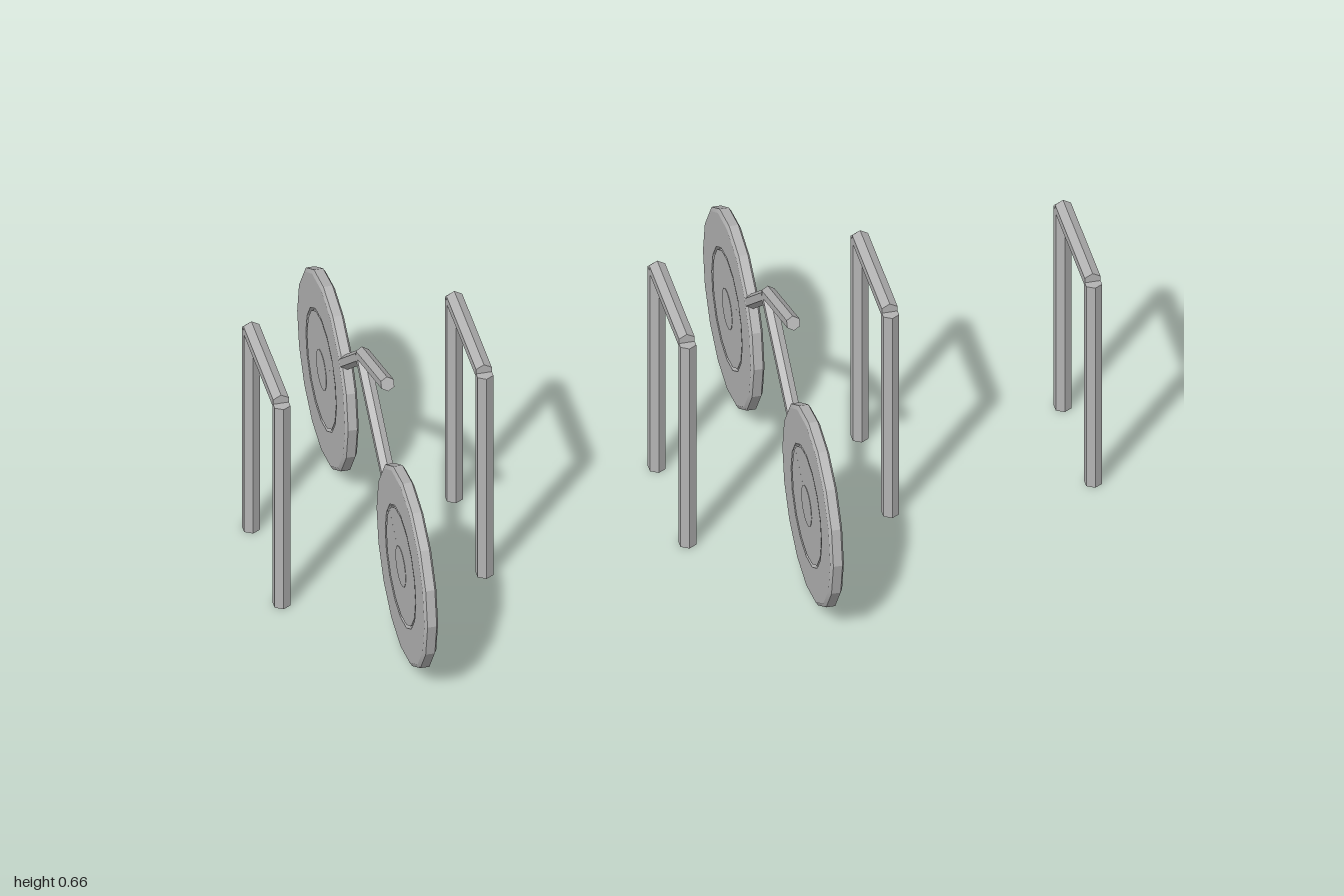
import * as THREE from 'three';
import { toCreasedNormals } from 'three/addons/utils/BufferGeometryUtils.js';

const steel = new THREE.MeshStandardMaterial({ color: 0xb4b4b4 });
steel.name = 'grey steel';

function part(name, geometry) {
  const mesh = new THREE.Mesh(toCreasedNormals(geometry, 0.35), steel);
  mesh.name = name;
  return mesh;
}

// Hexagonal bar between two [z, y] points in the plane x = 0
function bar(name, [z0, y0], [z1, y1], radius) {
  const a = new THREE.Vector3(0, y0, z0);
  const b = new THREE.Vector3(0, y1, z1);
  const geometry = new THREE.CylinderGeometry(radius, radius, a.distanceTo(b), 6);
  geometry.rotateX(Math.atan2(z1 - z0, y1 - y0));
  const mid = a.add(b).multiplyScalar(0.5);
  geometry.translate(mid.x, mid.y, mid.z);
  return part(name, geometry);
}

// Solid 16-sided wheel: raised hub, disc, narrow groove and rim
function wheel(name, z) {
  const half = [
    [0, 0.0165], [0.05, 0.0165], [0.05, 0.0155], [0.143, 0.0155], [0.143, 0.005],
    [0.15, 0.005], [0.15, 0.0165], [0.235, 0.0165], [0.244, 0.011],
  ];
  const profile = [
    ...half.map(([r, h]) => new THREE.Vector2(r, -h)),
    ...half.map(([r, h]) => new THREE.Vector2(r, h)).reverse(),
  ];
  const geometry = new THREE.LatheGeometry(profile, 16);
  geometry.rotateZ(Math.PI / 2);
  geometry.translate(0, 0.247, z);
  return part(name, geometry);
}

// Hoop stand: two posts and a top rail
function stand(x) {
  const group = new THREE.Group();
  group.name = 'stand';
  group.add(
    bar('frontPost', [0.15, 0], [0.15, 0.59], 0.022),
    bar('backPost', [-0.15, 0], [-0.15, 0.59], 0.022),
    bar('topRail', [0.146, 0.592], [-0.146, 0.592], 0.022),
  );
  group.position.x = x;
  return group;
}

// Simplified bicycle: two wheels joined by a forked frame
function bicycle(x) {
  const group = new THREE.Group();
  group.name = 'bicycle';
  const joint = [-0.05, 0.538];
  group.add(
    wheel('frontWheel', 0.39),
    wheel('backWheel', -0.39),
    bar('frontFrameTube', [0.39, 0.247], joint, 0.018),
    bar('backFrameTube', [-0.39, 0.247], joint, 0.018),
    bar('upperTube', [-0.05, 0.545], [0.196, 0.639], 0.018),
  );
  group.position.x = x;
  return group;
}

export function createModel() {
  const model = new THREE.Group();
  model.name = 'bicycleRack';
  for (let i = -2; i <= 2; i++) model.add(stand(i * 0.49));
  for (const x of [-0.735, 0.245]) model.add(bicycle(x));
  return model;
}
